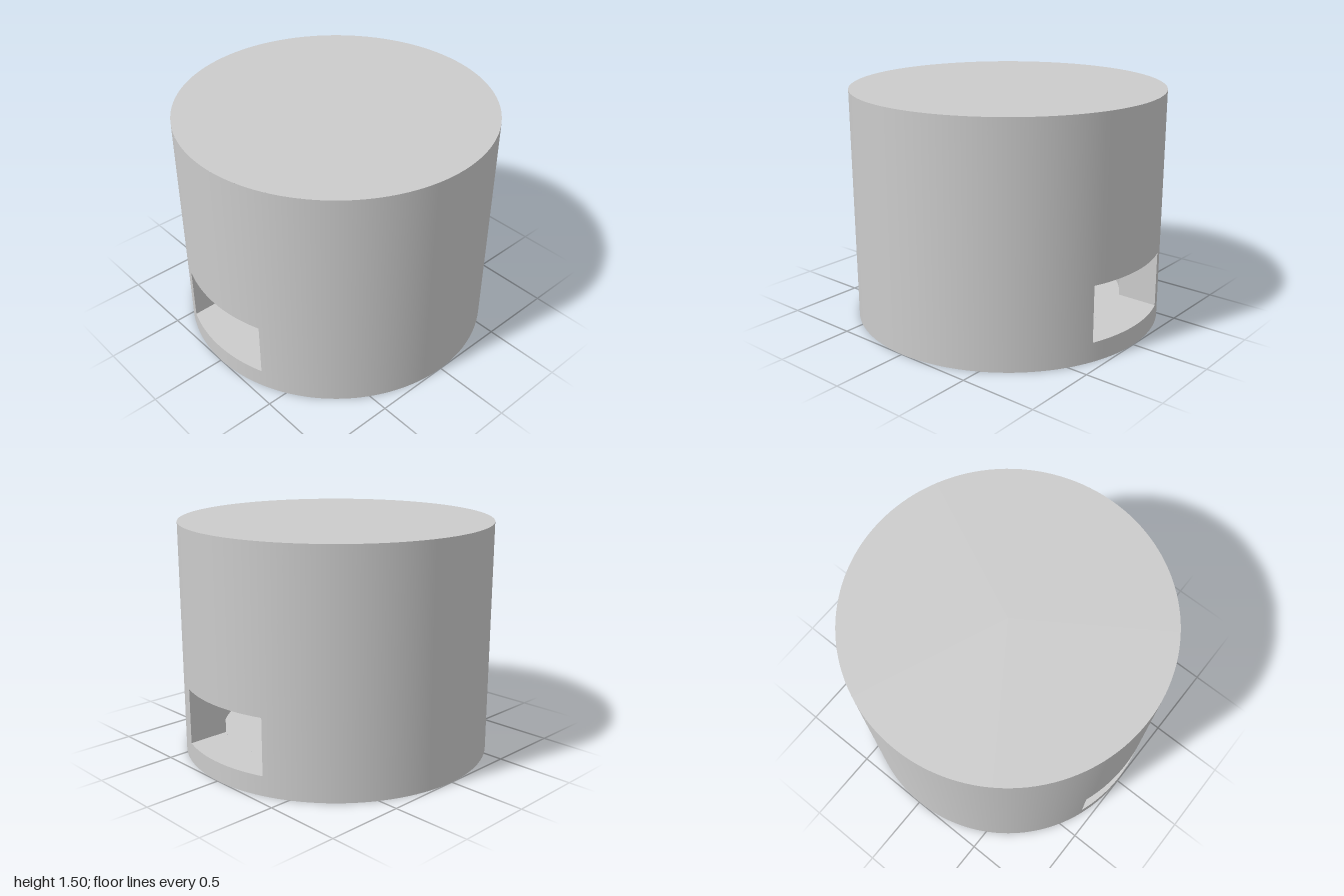
import * as THREE from 'three';

const R = 1, H = 1.5;                       // outer drum
const RI = 0.75, FLOOR = 0.125, CEIL = 1.375; // inner cavity
const HALF = 0.35, TOP = 0.485;             // side windows: half width, top edge (sill is flush with floor)
const material = new THREE.MeshStandardMaterial({ color: 0xcccccc });

export function createModel() {
  const model = new THREE.Group();
  model.name = 'hollowDrum';

  const add = (parent, name, geometry) => {
    const mesh = new THREE.Mesh(geometry, material);
    mesh.name = name;
    parent.add(mesh);
    return mesh;
  };

  // Revolves one straight profile edge; upward edges face out, downward edges face in
  const revolve = (parent, name, r0, y0, r1, y1, start = 0, length = Math.PI * 2) => {
    const points = [new THREE.Vector2(r0, y0), new THREE.Vector2(r1, y1)];
    const segments = Math.ceil(length / (Math.PI * 2) * 128);
    return add(parent, name, new THREE.LatheGeometry(points, segments, start, length));
  };

  // Lids and cavity ends
  revolve(model, 'topFace', R, H, 0, H);
  revolve(model, 'bottomFace', 0, 0, R, 0);
  revolve(model, 'cavityFloor', RI, FLOOR, 0, FLOOR);
  revolve(model, 'cavityCeiling', 0, CEIL, RI, CEIL);

  const a = Math.asin(HALF / R), b = Math.asin(HALF / RI); // half angles of the window
  const xOut = R * Math.cos(a), xIn = RI * Math.cos(b);

  // Sill outline: outer arc and inner arc joined by parallel sides
  const sill = new THREE.Shape();
  sill.absarc(0, 0, R, -a, a, false);
  sill.absarc(0, 0, RI, b, -b, true);

  // Each half: one window and the solid wall next to it
  ['left', 'right'].forEach((side, i) => {
    const half = new THREE.Group();
    half.name = side + 'Half';
    half.rotation.y = i * Math.PI;
    model.add(half);
    const mid = Math.PI / 2;

    // Outer skin
    revolve(half, 'outerWall', R, 0, R, H, mid + a, Math.PI - 2 * a);
    revolve(half, 'outerWallBelowWindow', R, 0, R, FLOOR, mid - a, 2 * a);
    revolve(half, 'outerWallAboveWindow', R, TOP, R, H, mid - a, 2 * a);

    // Inner skin
    revolve(half, 'innerWall', RI, CEIL, RI, FLOOR, mid + b, Math.PI - 2 * b);
    revolve(half, 'innerWallAboveWindow', RI, CEIL, RI, TOP, mid - b, 2 * b);

    // Window reveal
    const bottom = add(half, 'windowSill', new THREE.ShapeGeometry(sill, 24));
    bottom.rotation.x = -Math.PI / 2;
    bottom.position.y = FLOOR;
    const lintel = add(half, 'windowLintel', new THREE.ShapeGeometry(sill, 24));
    lintel.rotation.x = Math.PI / 2;
    lintel.position.y = TOP;
    for (const s of [-1, 1]) {
      const jamb = add(half, 'windowJamb', new THREE.PlaneGeometry(xOut - xIn, TOP - FLOOR));
      jamb.position.set((xOut + xIn) / 2, (TOP + FLOOR) / 2, s * HALF);
      if (s > 0) jamb.rotation.y = Math.PI;
    }
  });

  return model;
}
